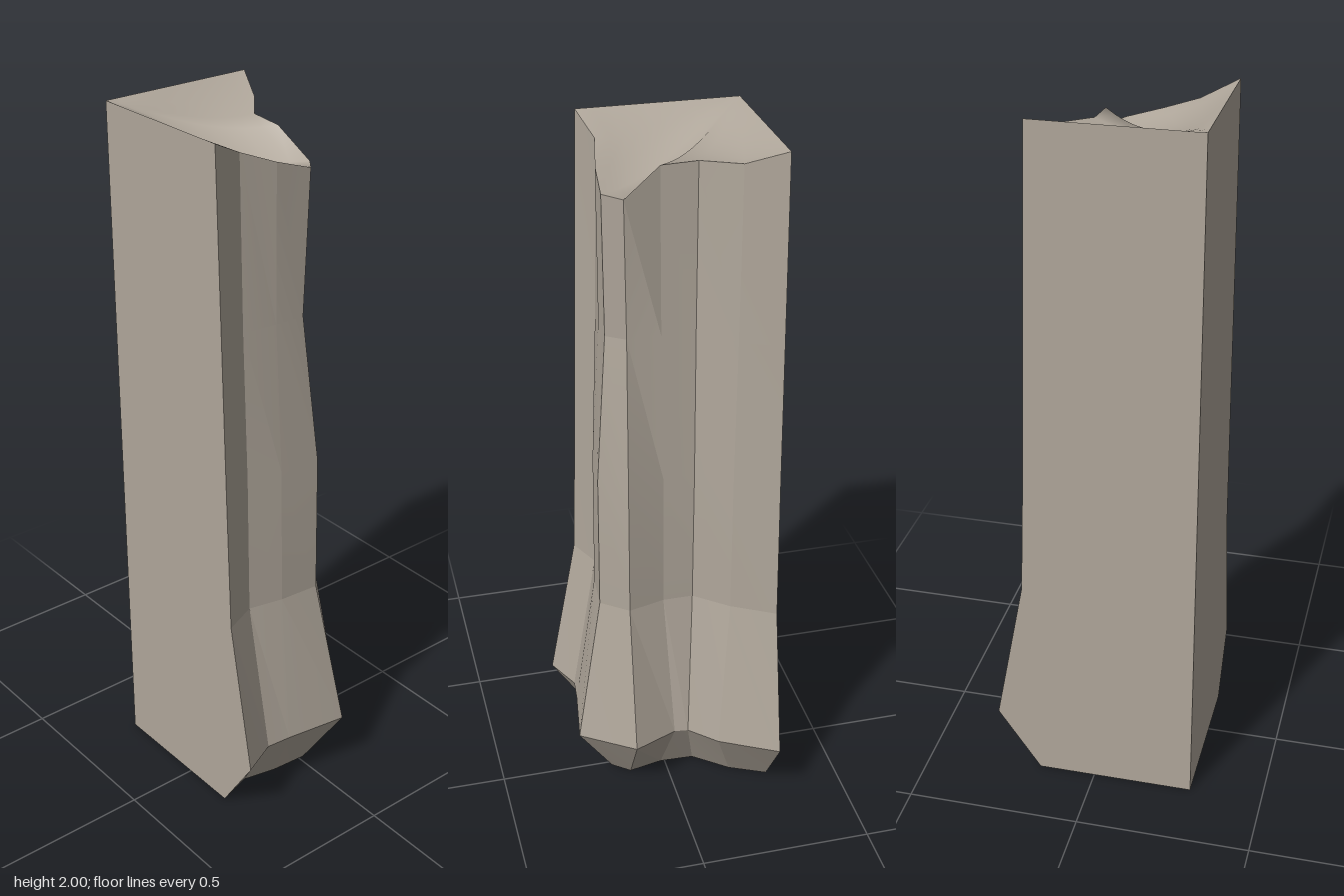
import * as THREE from 'three';
import { toCreasedNormals, mergeVertices } from 'three/addons/utils/BufferGeometryUtils.js';

const SIDE = 0.29; // flat faces lie at x = -SIDE and z = SIDE

// Outline of the rough side at each height, from the back left edge round to the front right edge (x, z)
const foot = [[-0.29, -0.165], [-0.185, -0.115], [-0.088, -0.037], [0.012, -0.033], [0.113, -0.055],
  [0.163, -0.015], [0.155, 0.09], [0.133, 0.19], [0.165, 0.29]];
const bulge = [[-0.29, -0.29], [-0.125, -0.2], [-0.05, -0.127], [-0.01, -0.122], [0.12, -0.177],
  [0.273, -0.073], [0.245, 0.11], [0.238, 0.183], [0.288, 0.29]];
const waist = [[-0.29, -0.207], [-0.17, -0.138], [-0.077, -0.06], [0.01, -0.06], [0.117, -0.09],
  [0.193, -0.03], [0.184, 0.09], [0.162, 0.19], [0.205, 0.29]];
const middle = [[-0.29, -0.192], [-0.172, -0.134], [-0.08, -0.058], [0.01, -0.058], [0.116, -0.086],
  [0.191, -0.03], [0.18, 0.09], [0.157, 0.19], [0.192, 0.29]];
const neck = [[-0.29, -0.18], [-0.18, -0.122], [-0.085, -0.04], [0.01, -0.036], [0.105, -0.036],
  [0.157, 0], [0.155, 0.09], [0.142, 0.19], [0.18, 0.29]];
const rings = [foot, bulge, waist, middle, neck, foot];
const heights = [0, 0.185, 0.63, 1.04, 1.47, 2];
const rimDip = [0, 0.04, 0.05, 0.055, 0.13, 0.125, 0.09, 0.05, 0]; // how far the top rim sinks

// Join rows of points into a surface
function loft(rows) {
  const position = rows.flat(2), index = [], n = rows[0].length;
  for (let j = 0; j < rows.length - 1; j++) {
    for (let i = 0; i < n - 1; i++) {
      const a = j * n + i, b = a + 1, d = a + n, c = d + 1;
      index.push(a, d, c, a, c, b);
    }
  }
  const g = new THREE.BufferGeometry();
  g.setAttribute('position', new THREE.Float32BufferAttribute(position, 3));
  g.setIndex(index);
  return g;
}

const flatFace = (points) =>
  new THREE.ShapeGeometry(new THREE.Shape(points.map(([x, y]) => new THREE.Vector2(x, y))));

export function createModel() {
  const model = new THREE.Group();
  model.name = 'rockCornerPillar';
  // The shell is open underneath, so its inside shows too
  const stone = new THREE.MeshStandardMaterial({ color: 0xb0a79b, side: THREE.DoubleSide });
  stone.name = 'stone';
  const add = (name, geometry) => {
    const mesh = new THREE.Mesh(geometry, stone);
    mesh.name = name;
    model.add(mesh);
  };

  // Rough faceted side
  const rows = rings.map((ring, j) => ring.map(([x, z], i) =>
    [x, heights[j] - (j === rings.length - 1 ? rimDip[i] : 0), z]));
  add('roughSide', toCreasedNormals(loft(rows), 0.12));

  // Smooth sagging top, running from the rim in to the flat corner
  const steps = 10, topRows = [];
  for (let k = steps; k >= 0; k--) {
    const t = k / steps, ease = t * t * (3 - 2 * t);
    topRows.push(foot.map(([x, z], i) => {
      const sag = rimDip[i] * ease + 0.03 * Math.sin(Math.PI * t) * Math.sin(Math.PI * i / 8);
      return [-SIDE + (x + SIDE) * t, 2 - sag, SIDE + (z - SIDE) * t];
    }));
  }
  const top = mergeVertices(loft(topRows));
  top.computeVertexNormals();
  add('top', top);

  // Flat faces
  const frontEdge = rings.map((ring, j) => [ring[8][0], heights[j]]);
  add('frontFace', flatFace([[-SIDE, 0], ...frontEdge, [-SIDE, 2]]).translate(0, 0, SIDE));
  const backEdge = rings.map((ring, j) => [ring[0][1], heights[j]]);
  add('sideFace', flatFace([[SIDE, 0], ...backEdge, [SIDE, 2]]).rotateY(-Math.PI / 2).translate(-SIDE, 0, 0));

  return model;
}
